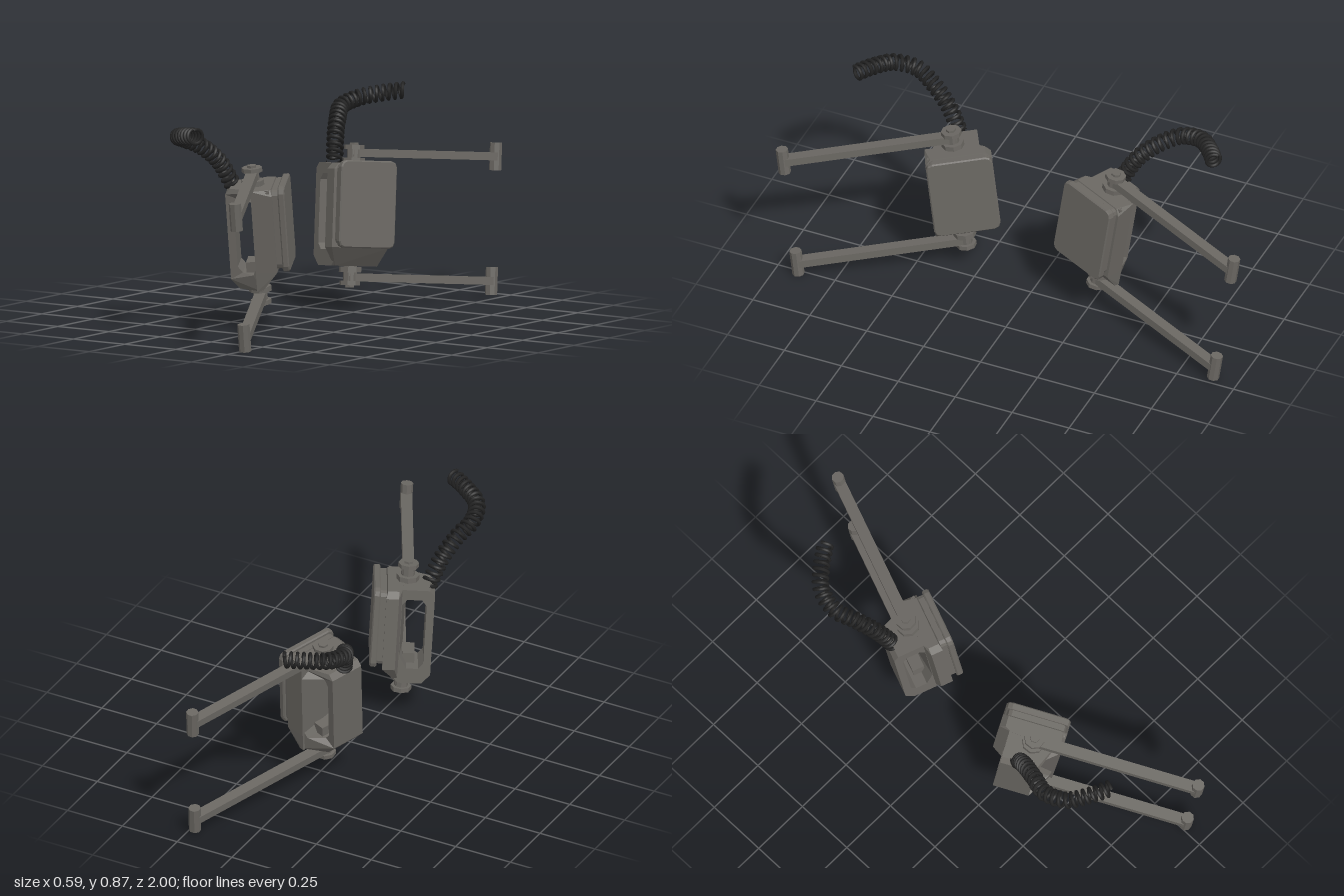
import * as THREE from 'three';
import { ConvexGeometry } from 'three/addons/geometries/ConvexGeometry.js';

const metal = new THREE.MeshStandardMaterial({ color: 0x6a6762 });
metal.name = 'warm grey metal';
const rubber = new THREE.MeshStandardMaterial({ color: 0x222222 });
rubber.name = 'black cable';

const V = (x, y, z) => new THREE.Vector3(x, y, z);

function add(group, name, geometry, material = metal) {
  const mesh = new THREE.Mesh(geometry, material);
  mesh.name = name;
  group.add(mesh);
  return mesh;
}

// Faceted upright cylinder
function post(r, h, sides) {
  const g = new THREE.CylinderGeometry(r, r, h, sides).toNonIndexed();
  g.computeVertexNormals();
  return g;
}

function polygon(points, Type = THREE.Shape) {
  return new Type(points.map(([x, y]) => new THREE.Vector2(x, y)));
}

// Slab facing +x with clipped corners
function slab(width, height, thick, c, bevel) {
  const w = width / 2 - bevel, h = height / 2 - bevel;
  const s = polygon([[-w + c, -h], [w - c, -h], [w - c * 0.3, -h + c * 0.3], [w, -h + c], [w, h - c],
    [w - c * 0.3, h - c * 0.3], [w - c, h], [-w + c, h], [-w + c * 0.3, h - c * 0.3], [-w, h - c],
    [-w, -h + c], [-w + c * 0.3, -h + c * 0.3]]);
  const g = new THREE.ExtrudeGeometry(s, {
    depth: thick - 2 * bevel, bevelEnabled: bevel > 0, bevelSize: bevel, bevelThickness: bevel, bevelSegments: 1,
  });
  g.translate(0, 0, bevel);
  g.rotateY(Math.PI / 2);
  return g;
}

// Helix wound around a guide curve
class Coil extends THREE.Curve {
  constructor(guide, turns, radius) {
    super();
    this.guide = guide;
    this.turns = turns;
    this.radius = radius;
    this.steps = 200;
    this.frames = guide.computeFrenetFrames(this.steps, false);
  }
  getPoint(t, target = new THREE.Vector3()) {
    const f = t * this.steps, i = Math.min(Math.floor(f), this.steps - 1), k = f - i;
    const n = this.frames.normals[i].clone().lerp(this.frames.normals[i + 1], k);
    const b = this.frames.binormals[i].clone().lerp(this.frames.binormals[i + 1], k);
    const angle = Math.PI * 2 * this.turns * t;
    return target.copy(this.guide.getPointAt(t))
      .addScaledVector(n, Math.cos(angle) * this.radius)
      .addScaledVector(b, Math.sin(angle) * this.radius);
  }
}

// Handle frame with its window; the front face steps forward towards the body
function handleFrame() {
  const outline = polygon([[-0.11, -0.165], [-0.075, -0.205], [0.02, -0.205], [0.075, -0.14],
    [0.075, 0.208], [-0.09, 0.208], [-0.11, 0.185]]);
  outline.holes.push(polygon([[-0.079, -0.115], [-0.079, 0.14], [-0.06, 0.165], [0, 0.165],
    [0.02, 0.14], [0.02, -0.085], [-0.012, -0.14], [-0.06, -0.14]], THREE.Path));
  const g = new THREE.ExtrudeGeometry(outline, { depth: 0.15, bevelEnabled: false });
  g.translate(0, 0, -0.105);
  const p = g.attributes.position;
  for (let i = 0; i < p.count; i++) {
    if (p.getZ(i) > 0) p.setZ(i, 0.045 + 0.07 * THREE.MathUtils.clamp((p.getX(i) + 0.06) / 0.06, 0, 1));
  }
  g.computeVertexNormals();
  return g;
}

// One unit: +x is the plate side, +z the way the arms reach
function makeUnit() {
  const unit = new THREE.Group();
  add(unit, 'handleFrame', handleFrame());

  // Wide body between frame and plate, tapering at the foot
  const ring = (y, n, z0, z1) => [[0, 0.116], [0.02, -0.1], [0.035, z0], [n, z0], [n, z1]]
    .map(([x, z]) => V(x, y, z));
  const foot = [[0, 0.115], [0.022, 0.114], [0.025, -0.09], [0.018, -0.09]].map(([x, z]) => V(x, -0.205, z));
  add(unit, 'wideBody', new ConvexGeometry([...foot, ...ring(-0.13, 0.086, -0.148, 0.122),
    ...ring(0.185, 0.086, -0.148, 0.122), ...ring(0.209, 0.08, -0.125, 0.1)]));

  // Face plate on a slightly smaller backing
  add(unit, 'plateBacking', slab(0.245, 0.325, 0.027, 0.02, 0)).position.set(0.084, 0.045, -0.012);
  add(unit, 'facePlate', slab(0.268, 0.352, 0.028, 0.022, 0.005)).position.set(0.109, 0.045, -0.012);

  // Small block on the window floor
  add(unit, 'windowBlock', new THREE.BoxGeometry(0.05, 0.045, 0.1)).position.set(-0.02, -0.12, 0.0);

  // Upper and lower pivots, arms and end posts
  for (const [side, label] of [[1, 'upper'], [-1, 'lower']]) {
    const arm = new THREE.Group();
    arm.name = label + 'Arm';
    add(arm, 'pivotFlange', post(0.046, 0.022, 8)).position.y = side * 0.219;
    add(arm, 'pivotPin', post(0.028, 0.07, 8)).position.y = side * 0.24;
    add(arm, 'pivotNut', post(0.042, 0.018, 8)).position.y = side * 0.273;
    add(arm, 'pivotBolt', post(0.02, 0.01, 6)).position.y = side * 0.286;
    add(arm, 'armBar', new THREE.BoxGeometry(0.046, 0.032, 0.7)).position.set(0, side * 0.25, 0.335);
    add(arm, 'endPost', post(0.025, 0.112, 8)).position.set(0, side * 0.25, 0.683);
    unit.add(arm);
  }

  // Coiled cable rising from the handle
  const guide = new THREE.CatmullRomCurve3([V(-0.085, 0.205, -0.035), V(-0.129, 0.309, -0.006),
    V(-0.19, 0.388, 0.043), V(-0.248, 0.433, 0.096), V(-0.264, 0.468, 0.186),
    V(-0.222, 0.491, 0.276), V(-0.172, 0.505, 0.348)]);
  add(unit, 'coiledCable', new THREE.TubeGeometry(new Coil(guide, 23, 0.029), 500, 0.0075, 6), rubber);
  return unit;
}

// Places a unit by its up and arm directions; mirrored flips the plate axis
function place(unit, origin, up, reach, mirrored) {
  const u = up.normalize();
  const a = reach.addScaledVector(u, -reach.dot(u)).normalize();
  const n = new THREE.Vector3().crossVectors(u, a);
  if (mirrored) n.negate();
  unit.applyMatrix4(new THREE.Matrix4().makeBasis(n, u, a).setPosition(origin));
  return unit;
}

export function createModel() {
  const model = new THREE.Group();
  model.name = 'handleUnits';
  const front = place(makeUnit(), V(-0.06, 0.376, 0.345), V(0, 0.993, 0.12), V(0.484, -0.105, 0.868), false);
  front.name = 'frontUnit';
  const back = place(makeUnit(), V(-0.047, 0.381, -0.308), V(-0.05, 0.99, -0.13), V(0.373, -0.095, -0.922), true);
  back.name = 'backUnit';
  model.add(front, back);
  return model;
}
